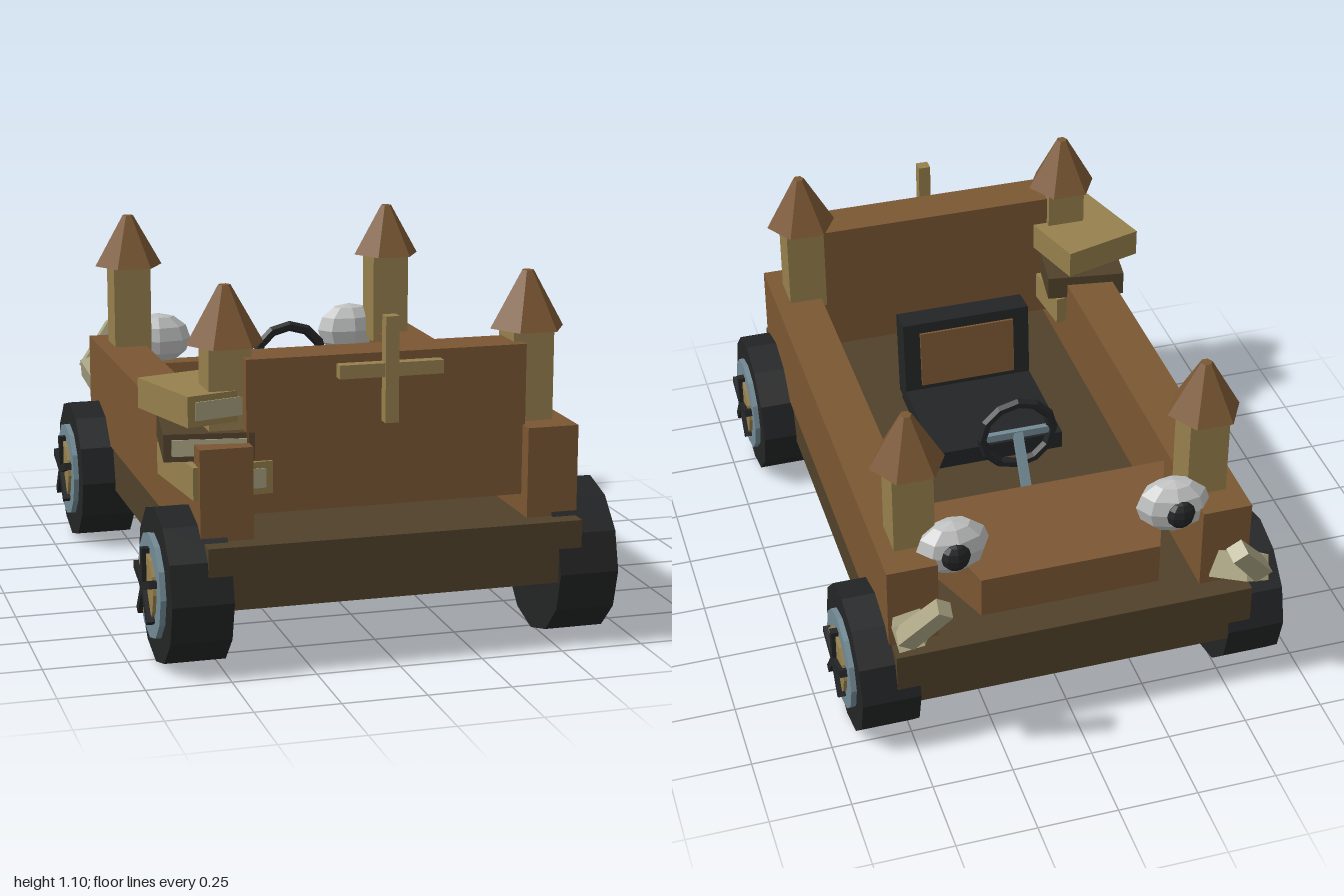
import * as THREE from 'three';

const mat = (name, hex) => {
  const m = new THREE.MeshStandardMaterial({ color: hex, flatShading: true });
  m.name = name;
  return m;
};

export function createModel() {
  const wood = mat('brown wood', 0x7b5733);
  const dark = mat('dark wood', 0x50412a);
  const tan = mat('tan wood', 0x96804d);
  const black = mat('black', 0x232425);
  const steel = mat('blue steel', 0x728a95);
  const white = mat('skull white', 0xbfc1c0);
  const bone = mat('old bone', 0xaaa483);

  const root = new THREE.Group();
  root.name = 'cart';
  const add = (name, geo, m, x = 0, y = 0, z = 0, parent = root) => {
    const mesh = new THREE.Mesh(geo, m);
    mesh.name = name;
    mesh.position.set(x, y, z);
    parent.add(mesh);
    return mesh;
  };
  // box given by its minimum and maximum corners
  const box = (name, m, [x0, y0, z0], [x1, y1, z1], parent = root) =>
    add(name, new THREE.BoxGeometry(x1 - x0, y1 - y0, z1 - z0), m,
      (x0 + x1) / 2, (y0 + y1) / 2, (z0 + z1) / 2, parent);
  // square or round bar between two points
  const bar = (name, m, a, b, r0, r1, sides = 4) => {
    const p = new THREE.Vector3(...a), q = new THREE.Vector3(...b);
    const d = q.clone().sub(p);
    const g = new THREE.CylinderGeometry(r1, r0, d.length(), sides);
    if (sides === 4) g.rotateY(Math.PI / 4);
    const mesh = add(name, g, m, ...p.add(q).multiplyScalar(0.5).toArray());
    mesh.quaternion.setFromUnitVectors(new THREE.Vector3(0, 1, 0), d.normalize());
    return mesh;
  };

  // Body
  box('chassis', dark, [-0.56, 0.205, -0.84], [0.56, 0.39, 0.98]);
  for (const s of [-1, 1]) {
    add('sideWall', new THREE.BoxGeometry(0.155, 0.31, 1.69), wood, s * 0.49, 0.505, 0.07);
  }
  box('frontPanel', wood, [-0.42, 0.45, 0.725], [0.42, 0.9, 0.865]);
  box('crossUpright', tan, [-0.02, 0.7, 0.865], [0.02, 1.01, 0.903]);
  box('crossBar', tan, [-0.155, 0.835, 0.865], [0.155, 0.875, 0.9]);

  // Hood: a box tapered towards the rear
  const hood = new THREE.BoxGeometry(1, 1, 1);
  const hp = hood.attributes.position;
  for (let i = 0; i < hp.count; i++) {
    const wide = hp.getZ(i) > 0, up = hp.getY(i) > 0;
    hp.setXYZ(i,
      Math.sign(hp.getX(i)) * (wide ? 0.41 : 0.28),
      wide ? (up ? 0.62 : 0.415) : (up ? 0.565 : 0.43),
      wide ? (up ? -0.44 : -0.415) : -0.77);
  }
  hood.computeVertexNormals();
  add('hood', hood, wood);

  // Corner towers with six-sided roofs
  for (const x of [-0.457, 0.457]) {
    for (const z of [-0.615, 0.765]) {
      add('towerPost', new THREE.BoxGeometry(0.125, 0.31, 0.125), tan, x, 0.785, z);
      const roof = new THREE.CylinderGeometry(0.018, 0.114, 0.17, 6);
      roof.rotateY(Math.PI / 6 + Math.PI / 3);
      roof.rotateY(Math.PI / 2 - Math.PI / 2 + 0);
      const r = add('towerRoof', roof, wood, x, 1.015, z);
      r.rotation.y = 0;
    }
  }

  // Wheels, each built facing +x and turned round for the right side
  for (const s of [-1, 1]) {
    for (const z of [-0.617, 0.768]) {
      const wheel = new THREE.Group();
      wheel.name = 'wheel';
      wheel.position.set(s * 0.58, 0.232, z);
      wheel.rotation.y = s > 0 ? 0 : Math.PI;
      root.add(wheel);
      const disc = (name, m, r, x0, x1, n) =>
        add(name, new THREE.CylinderGeometry(r, r, x1 - x0, n).rotateZ(Math.PI / 2), m, (x0 + x1) / 2, 0, 0, wheel);
      disc('tyre', black, 0.232, -0.09, 0.09, 12);
      disc('rim', steel, 0.157, 0.08, 0.107, 12);
      disc('hubPlate', tan, 0.103, 0.1, 0.117, 12);
      for (let i = 0; i < 5; i++) {
        const spoke = new THREE.BoxGeometry(0.028, 0.115, 0.024).translate(0.116, 0.0575, 0);
        add('spoke', spoke.rotateX((i * Math.PI * 2) / 5), black, 0, 0, 0, wheel);
      }
    }
  }

  // Seat
  box('seatPan', black, [-0.215, 0.415, -0.02], [0.215, 0.475, 0.4]);
  const back = new THREE.Group();
  back.name = 'seatBack';
  back.position.set(0, 0.43, 0.385);
  back.rotation.x = 0.08;
  root.add(back);
  box('backRest', black, [-0.215, 0, -0.045], [0.215, 0.29, 0.045], back);
  box('backPad', wood, [-0.16, 0.06, -0.054], [0.16, 0.255, -0.044], back);

  // Steering wheel and column
  add('steeringWheel', new THREE.TorusGeometry(0.115, 0.017, 6, 12), black, 0, 0.655, -0.217);
  box('steeringCrossbar', steel, [-0.11, 0.643, -0.226], [0.11, 0.667, -0.208]);
  bar('steeringColumn', steel, [0, 0.66, -0.22], [0, 0.385, -0.405], 0.02, 0.02);

  for (const s of [-1, 1]) {
    // Skull lamps on the rear corners
    const skull = add('skullLamp', new THREE.SphereGeometry(1, 8, 6), white, s * 0.345, 0.655, -0.69);
    skull.scale.set(0.115, 0.09, 0.07);
    skull.rotation.y = s * 0.08;
    const eye = add('lampEye', new THREE.SphereGeometry(1, 8, 6), black, s * 0.35, 0.655, -0.75);
    eye.scale.set(0.045, 0.047, 0.027);
    // Bent tusks
    bar('tuskBase', bone, [s * 0.49, 0.44, -0.75], [s * 0.54, 0.53, -0.91], 0.062, 0.055);
    bar('tuskTip', bone, [s * 0.55, 0.52, -0.905], [s * 0.445, 0.66, -0.965], 0.042, 0.037);
  }

  // Stack of books by the front corner: x, z, bottom, top, width, depth, turn
  const books = [
    [tan, -0.48, 0.72, 0.51, 0.605, 0.24, 0.33, 0.1],
    [dark, -0.5, 0.69, 0.61, 0.69, 0.26, 0.32, -0.15],
    [tan, -0.5, 0.69, 0.715, 0.805, 0.275, 0.3, 0.28],
  ];
  for (const [m, x, z, y0, y1, w, d, turn] of books) {
    const book = new THREE.Group();
    book.name = 'book';
    book.position.set(x, (y0 + y1) / 2, z);
    book.rotation.y = turn;
    root.add(book);
    add('bookCover', new THREE.BoxGeometry(w, y1 - y0, d), m, 0, 0, 0, book);
    add('bookPages', new THREE.BoxGeometry(w * 0.82, (y1 - y0) * 0.6, 0.008), bone, 0, 0, d / 2, book);
  }

  return root;
}
